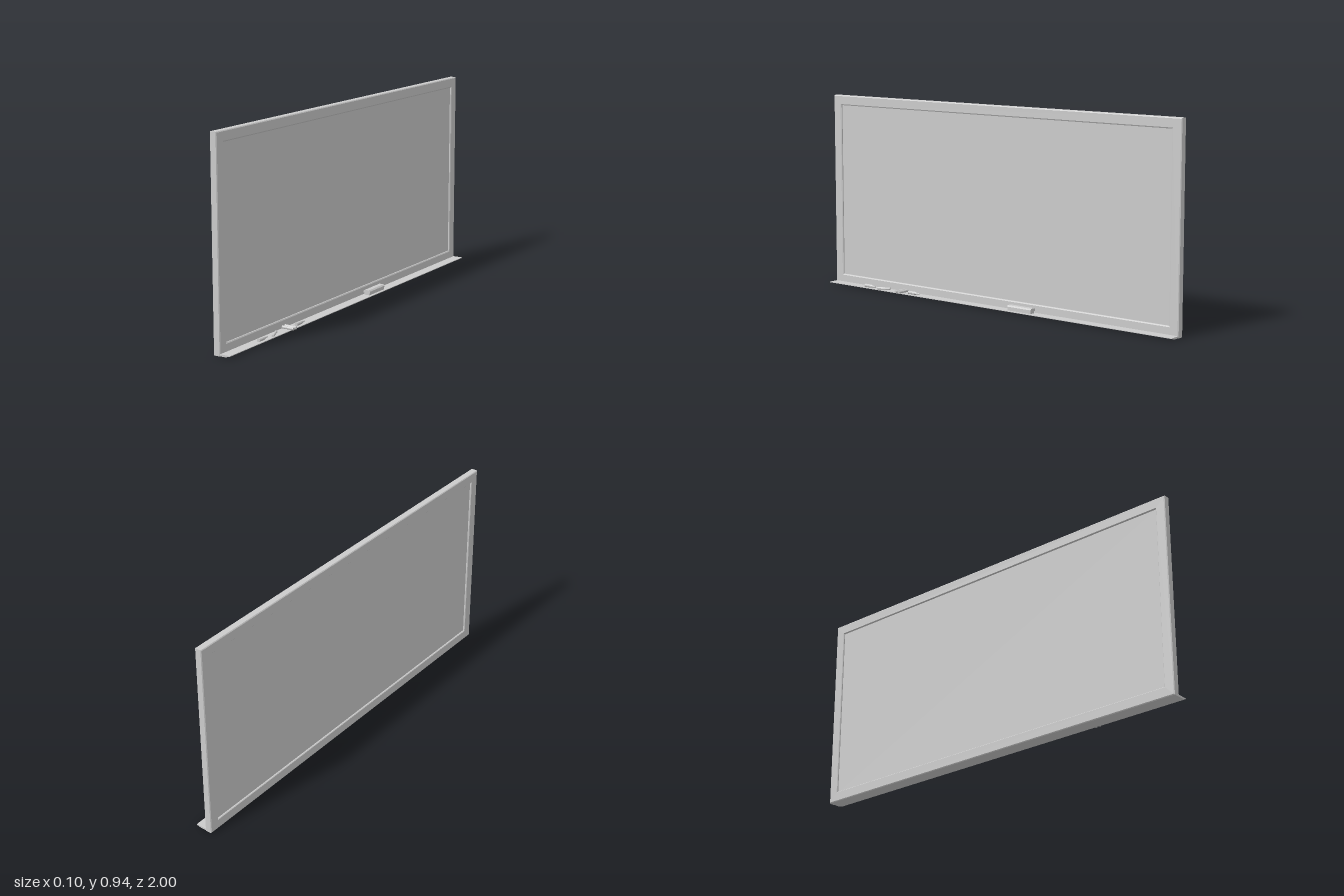
import * as THREE from 'three';

const material = new THREE.MeshStandardMaterial({ color: 0xcccccc, flatShading: true, side: THREE.DoubleSide });

function add(parent, name, geometry, x = 0, y = 0, z = 0) {
  const mesh = new THREE.Mesh(geometry, material);
  mesh.name = name;
  mesh.position.set(x, y, z);
  parent.add(mesh);
  return mesh;
}

// Mitred frame: a chamfered cross-section [x, inset] carried round four corners
function frameGeometry(height) {
  const profile = [
    [-0.048, 0.004], [-0.045, 0], [-0.017, 0], [-0.014, 0.004],
    [-0.014, 0.043], [-0.017, 0.048], [-0.045, 0.048], [-0.048, 0.045],
  ];
  const corners = [[1, 0], [-1, 0], [-1, 1], [1, 1]];
  const n = profile.length;
  const positions = [];
  const index = [];
  for (const [side, top] of corners) {
    for (const [x, d] of profile) positions.push(x, top ? height - d : d, side * (1 - d));
  }
  for (let i = 0; i < 4; i++) {
    for (let j = 0; j < n; j++) {
      const a = i * n + j;
      const b = i * n + (j + 1) % n;
      const c = ((i + 1) % 4) * n + j;
      const d = ((i + 1) % 4) * n + (j + 1) % n;
      index.push(a, c, d, a, d, b);
    }
  }
  const geometry = new THREE.BufferGeometry();
  geometry.setAttribute('position', new THREE.Float32BufferAttribute(positions, 3));
  geometry.setIndex(index);
  geometry.computeVertexNormals();
  return geometry;
}

// Extrudes an [x, y] outline along z, centred on its own origin
function extrudeAlongZ(points, length) {
  const shape = new THREE.Shape(points.map(([x, y]) => new THREE.Vector2(x, y)));
  return new THREE.ExtrudeGeometry(shape, { depth: length, bevelEnabled: false })
    .translate(0, 0, -length / 2);
}

// Short writing stick lying on the tray, turned about y from the z axis
function addChalk(parent, x, z, length, turn, radius = 0.006) {
  const geometry = new THREE.CylinderGeometry(radius, radius, length, 10).rotateX(Math.PI / 2);
  add(parent, 'chalk', geometry, x, 0.009 + radius, z).rotation.y = turn;
}

// Marker with a thick body and a narrow tip towards -z
function addMarker(parent, x, z) {
  const marker = new THREE.Group();
  marker.name = 'marker';
  marker.position.set(x, 0.017, z);
  const profile = [[0, -0.034], [0.002, -0.034], [0.004, -0.018], [0.008, -0.006], [0.008, 0.034], [0, 0.034]];
  const geometry = new THREE.LatheGeometry(profile.map(([r, h]) => new THREE.Vector2(r, h)), 10);
  add(marker, 'markerBody', geometry.rotateX(Math.PI / 2));
  parent.add(marker);
}

export function createModel() {
  const group = new THREE.Group();
  group.name = 'wallBoard';
  const height = 0.938;

  // Board and surrounding frame
  add(group, 'frame', frameGeometry(height));
  add(group, 'writingSurface', new THREE.BoxGeometry(0.018, height - 0.09, 1.91), -0.031, height / 2, 0);

  // Thin ledge along the bottom
  const ledge = [[-0.03, 0.001], [0.012, 0.001], [0.036, 0.007], [0.036, 0.01], [-0.03, 0.01]];
  add(group, 'tray', extrudeAlongZ(ledge, 1.998));

  // Eraser with felt pad and chamfered grip
  const eraser = new THREE.Group();
  eraser.name = 'eraser';
  eraser.position.set(0.009, 0.01, -0.178);
  add(eraser, 'feltPad', new THREE.BoxGeometry(0.028, 0.012, 0.13), 0, 0.006, 0);
  const grip = [[-0.017, 0.011], [0.017, 0.011], [0.017, 0.018], [0.011, 0.024], [-0.011, 0.024], [-0.017, 0.018]];
  add(eraser, 'grip', extrudeAlongZ(grip, 0.135));
  group.add(eraser);

  // Writing tools on the ledge
  for (const z of [0.457, 0.74]) addMarker(group, 0.018, z);
  for (const z of [0.53, 0.55]) addChalk(group, 0.016, z, 0.062, Math.PI / 2 - 0.06, 0.007);
  addChalk(group, 0.017, 0.654, 0.064, 0.4);

  return group;
}
